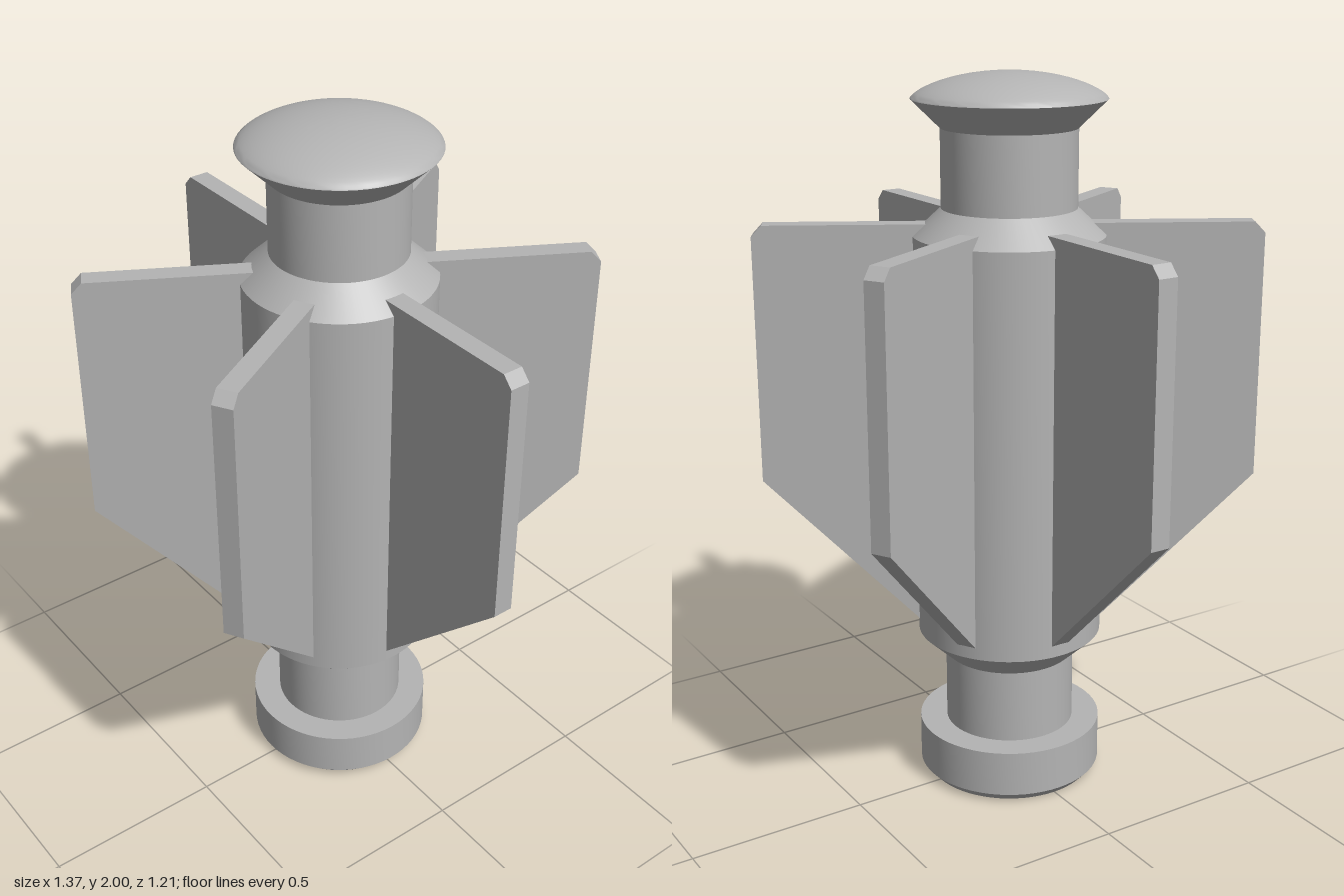
import * as THREE from 'three';
import { toCreasedNormals } from 'three/addons/utils/BufferGeometryUtils.js';

export function createModel() {
  const model = new THREE.Group();
  model.name = 'finnedShaft';
  const grey = new THREE.MeshStandardMaterial({ color: 0xb4b4b4 });
  grey.name = 'light grey';

  // Turned parts: profile of [radius, height], bottom to top
  const turned = (name, profile) => {
    const points = profile.map(([r, y]) => new THREE.Vector2(r, y));
    const mesh = new THREE.Mesh(toCreasedNormals(new THREE.LatheGeometry(points, 64), 0.45), grey);
    mesh.name = name;
    model.add(mesh);
  };

  turned('foot', [[0, 0], [0.237, 0], [0.26, 0.025], [0.26, 0.155], [0.183, 0.155]]);
  turned('lowerNeck', [[0.183, 0.155], [0.183, 0.365]]);
  turned('body', [[0.183, 0.365], [0.26, 0.437], [0.26, 1.573], [0.183, 1.645]]);
  turned('upperNeck', [[0.183, 1.645], [0.183, 1.855]]);

  // Domed cap, steeper towards the rim
  const cap = [[0.183, 1.855]];
  const steps = 14;
  for (let i = steps; i >= 0; i--) {
    const t = (i / steps) * Math.PI / 2;
    cap.push([0.26 * Math.sin(t), 1.93 + 0.07 * Math.pow(Math.max(0, Math.cos(t)), 1.4)]);
  }
  turned('cap', cap);

  // Six radial fins with a chamfered top corner and a sloping lower edge
  const thickness = 0.056;
  const outline = new THREE.Shape([
    [0.17, 0.47], [0.258, 0.47], [0.685, 0.893], [0.685, 1.575], [0.657, 1.605], [0.17, 1.605],
  ].map(([x, y]) => new THREE.Vector2(x, y)));
  const finGeometry = new THREE.ExtrudeGeometry(outline, { depth: thickness, bevelEnabled: false });
  finGeometry.translate(0, 0, -thickness / 2);
  for (let i = 0; i < 6; i++) {
    const fin = new THREE.Mesh(finGeometry, grey);
    fin.name = `fin${i + 1}`;
    fin.rotation.y = i * Math.PI / 3;
    model.add(fin);
  }

  return model;
}
